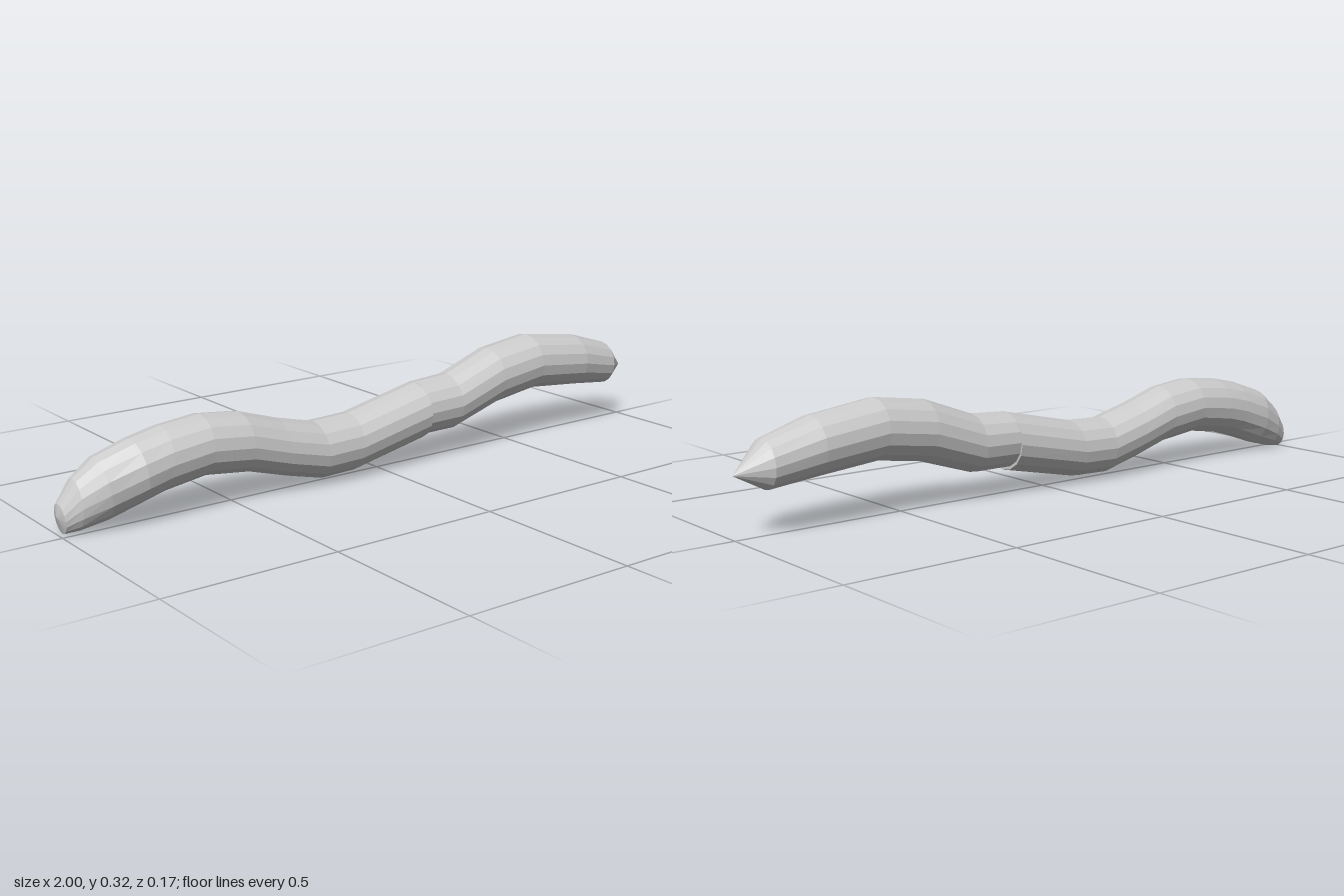
import * as THREE from 'three';

const SIDES = 16;
const material = new THREE.MeshStandardMaterial({ color: 0xcccccc, flatShading: true });

// Skins a row of tilted oval rings, each [topX, topY, bottomX, bottomY, halfWidth, zOffset],
// running along +x; both ends close on a point.
function skin(name, rings, startPoint, endPoint) {
  const pos = [];
  const index = [];
  for (const [tx, ty, bx, by, rz, zc = 0] of rings) {
    for (let j = 0; j < SIDES; j++) {
      const a = (j / SIDES) * Math.PI * 2;
      const c = Math.cos(a) / 2;
      pos.push((tx + bx) / 2 + (tx - bx) * c, (ty + by) / 2 + (ty - by) * c, zc + rz * Math.sin(a));
    }
  }
  const last = (rings.length - 1) * SIDES;
  const start = rings.length * SIDES;
  pos.push(...startPoint, ...endPoint);
  for (let j = 0; j < SIDES; j++) {
    const k = (j + 1) % SIDES;
    for (let o = 0; o < last; o += SIDES) {
      index.push(o + j, o + k, o + SIDES + j, o + k, o + SIDES + k, o + SIDES + j);
    }
    index.push(start, k, j, start + 1, last + j, last + k);
  }
  const geometry = new THREE.BufferGeometry();
  geometry.setAttribute('position', new THREE.Float32BufferAttribute(pos, 3));
  geometry.setIndex(index);
  geometry.computeVertexNormals();
  const mesh = new THREE.Mesh(geometry, material);
  mesh.name = name;
  return mesh;
}

export function createModel() {
  const group = new THREE.Group();
  group.name = 'worm';

  // Longer half, ending in a blunt tip slanted towards the back
  group.add(skin('rearBody', [
    [-0.995, 0.085, -0.985, 0.002, 0.033, -0.03],
    [-0.955, 0.147, -0.95, 0.006, 0.053, -0.022],
    [-0.9, 0.196, -0.875, 0.025, 0.074, -0.01],
    [-0.8, 0.231, -0.78, 0.058, 0.085],
    [-0.71, 0.25, -0.72, 0.075, 0.086],
    [-0.59, 0.262, -0.595, 0.094, 0.086],
    [-0.47, 0.249, -0.46, 0.078, 0.086],
    [-0.35, 0.211, -0.34, 0.043, 0.086],
    [-0.225, 0.18, -0.22, 0.013, 0.086],
    [-0.1, 0.184, -0.108, 0.016, 0.086],
    [0.14, 0.236, 0.145, 0.068, 0.086],
  ], [-1, 0.05, -0.03], [0.143, 0.152, 0]));

  // Shorter half, slightly slimmer at the joint and pointed at the end
  group.add(skin('frontBody', [
    [0.14, 0.237, 0.14, 0.077, 0.082],
    [0.26, 0.244, 0.265, 0.078, 0.085],
    [0.42, 0.302, 0.435, 0.131, 0.086],
    [0.58, 0.323, 0.585, 0.153, 0.086],
    [0.775, 0.297, 0.77, 0.136, 0.084],
    [0.915, 0.254, 0.91, 0.12, 0.066],
  ], [0.14, 0.157, 0], [1, 0.168, 0]));

  return group;
}
